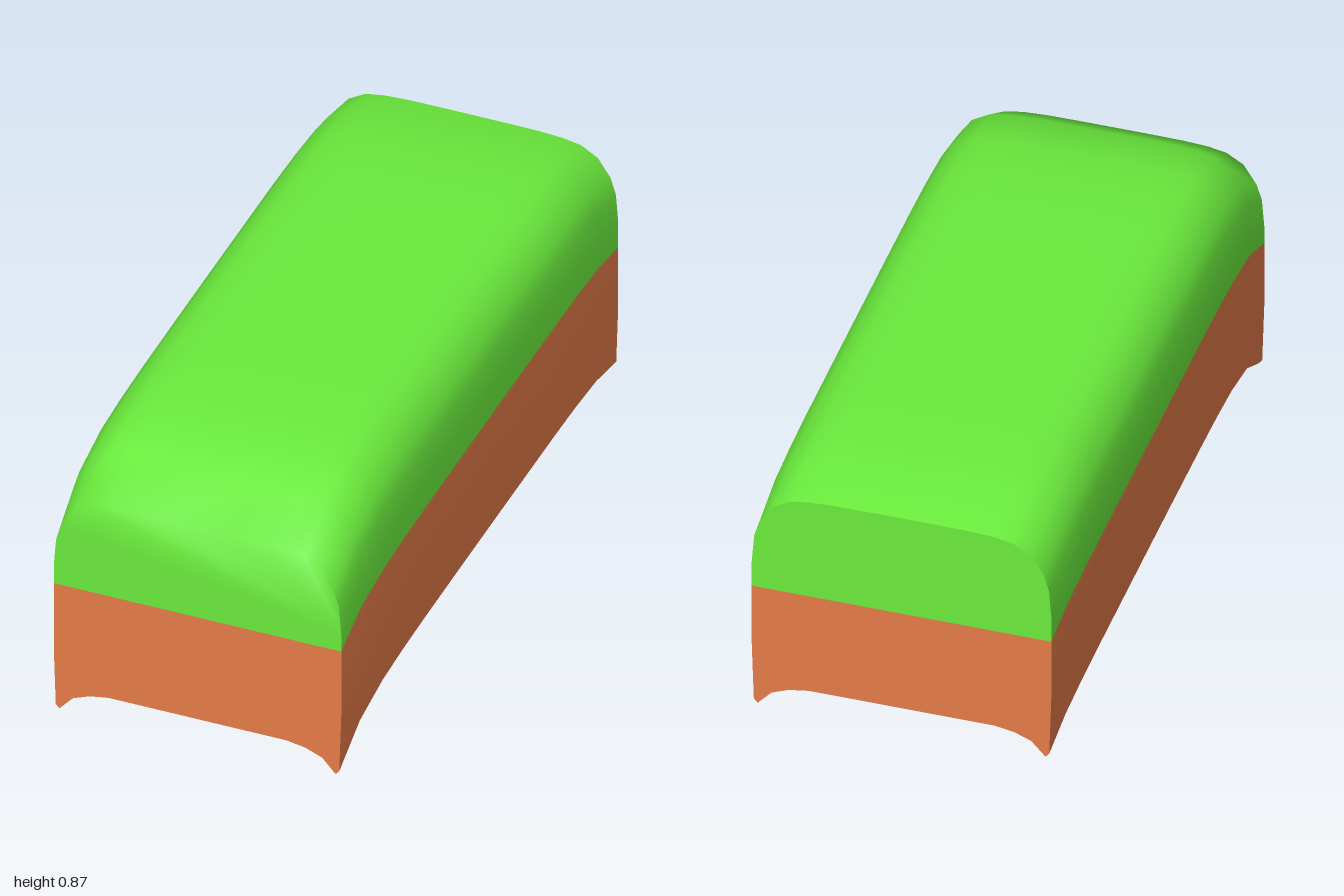
import * as THREE from 'three';

// Stations along the body: [z, how far the section has drooped there]
const stations = [
  [1, 1], [0.86, 0.36], [0.7, 0.11], [0.55, 0.035], [0.4, 0.01], [0.15, 0],
  [-0.15, 0], [-0.55, 0.01], [-0.7, 0.035], [-0.85, 0.11], [-1, 0.36],
];

// Half profiles of the middle section: [x, y, droop at the front end, share of the hollow's depth]
const roofHalf = [
  [0.436, 0.52, 0.1], [0.436, 0.62, 0.14], [0.429, 0.71, 0.14], [0.413, 0.765, 0.145],
  [0.375, 0.82, 0.14], [0.325, 0.85, 0.14], [0.27, 0.86, 0.14], [0.2, 0.864, 0.14], [0.1, 0.865, 0.14],
];
const wallHalf = [[0.436, 0.52, 0.1], [0.436, 0.33, 0.127], [0.43, 0.14, 0.127]];
const lipHalf = [[0.43, 0.14, 0.127], [0.419, 0.127, 0.127]];
const archHalf = [[0.419, 0], [0.378, 0.6], [0.328, 0.87], [0.27, 1]]
  .map(([x, rise]) => [x, 0.127, 0.127, rise]);

const flip = (half) => half.map(([x, ...rest]) => [-x, ...rest]);
const reversed = (list) => [...list].reverse();

// Profiles run counter-clockwise as seen from the front
const roof = [...roofHalf, ...reversed(flip(roofHalf))];
const arch = [...flip(archHalf), ...reversed(archHalf)];
const lower = [...flip(wallHalf), ...flip(lipHalf).slice(1), ...arch.slice(1, -1),
  ...reversed(lipHalf), ...reversed(wallHalf).slice(1)];

// The hollow below has a level ceiling, except where it turns down at the front
const hollow = (f) => Math.min(0.029 + 0.127 * f, 0.075);
const place = ([x, y, d, rise = 0], f) => [x * (1 - 0.013 * f), y - d * f + rise * hollow(f)];

function loft(profile, rows = stations) {
  const n = profile.length, positions = [], index = [];
  rows.forEach(([z, f], j) => profile.forEach((p, i) => {
    positions.push(...place(p, f), z);
    if (j && i) {
      const c = j * n + i - 1, a = c - n;
      index.push(a, c, a + 1, a + 1, c, c + 1);
    }
  }));
  return { positions, index };
}

function toGeometry({ positions, index }) {
  const geometry = new THREE.BufferGeometry();
  geometry.setAttribute('position', new THREE.Float32BufferAttribute(positions, 3));
  geometry.setIndex(index);
  geometry.computeVertexNormals();
  return geometry;
}

// Roof skin with the front panel fanned from a low side corner:
// it blends softly into the top and stays creased along the sides
function roofGeometry() {
  const data = loft(roof), n = roof.length, soft = 4;
  const rim = roof.map((_, i) => {
    if (i >= soft && i < n - soft) return i;
    data.positions.push(...data.positions.slice(i * 3, i * 3 + 3));
    return data.positions.length / 3 - 1;
  });
  for (let i = 2; i < n; i++) data.index.push(rim[1], rim[i], rim[(i + 1) % n]);
  return toGeometry(data);
}

// Flat end panel closing a section
function endPanel(profile, [z, f]) {
  const outline = profile.map((p) => new THREE.Vector2(...place(p, f)));
  const geometry = new THREE.ShapeGeometry(new THREE.Shape(outline));
  if (z < 0) geometry.rotateY(Math.PI);
  return geometry.translate(0, 0, z);
}

export function createModel() {
  const model = new THREE.Group();
  model.name = 'archedBody';
  const green = new THREE.MeshStandardMaterial({ color: 0x6aea3c });
  const brown = new THREE.MeshStandardMaterial({ color: 0xe47b48 });
  const add = (name, geometry, material) => {
    const mesh = new THREE.Mesh(geometry, material);
    mesh.name = name;
    model.add(mesh);
  };
  const front = stations[0], back = stations[stations.length - 1];

  // Upper half
  add('roof', roofGeometry(), green);
  add('upperBackPanel', endPanel(roof, back), green);

  // Lower half: side walls, thin bottom lips, hollow underside and ends
  const skins = {
    leftWall: reversed(wallHalf), rightWall: flip(wallHalf),
    leftLip: reversed(lipHalf), rightLip: flip(lipHalf),
  };
  for (const [name, profile] of Object.entries(skins)) add(name, toGeometry(loft(profile)), brown);
  // The underside is creased where its front end turns down
  add('undersideFront', toGeometry(loft(arch, stations.slice(0, 2))), brown);
  add('underside', toGeometry(loft(arch, stations.slice(1))), brown);
  add('lowerFrontPanel', endPanel(lower, front), brown);
  add('lowerBackPanel', endPanel(lower, back), brown);
  return model;
}
